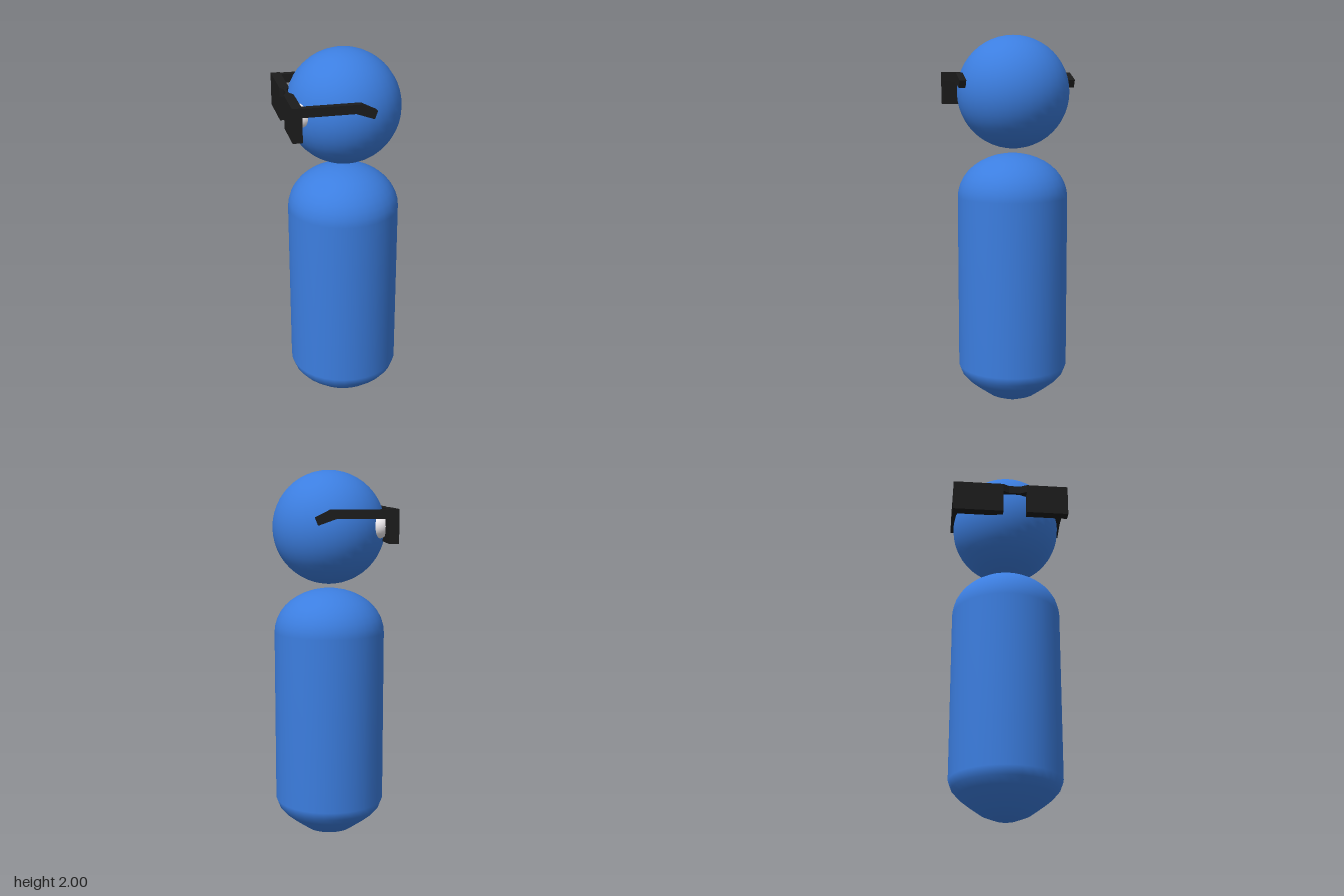
import * as THREE from 'three';

const blue = new THREE.MeshStandardMaterial({ color: 0x3c7ee0 });
const black = new THREE.MeshStandardMaterial({ color: 0x1c1c1c });
const white = new THREE.MeshStandardMaterial({ color: 0xf2eef2 });

function add(group, name, geometry, material, x = 0, y = 0, z = 0) {
  const mesh = new THREE.Mesh(geometry, material);
  mesh.name = name;
  mesh.position.set(x, y, z);
  group.add(mesh);
  return mesh;
}

// Flat outline with a depth along +z
function slab(points, depth) {
  const shape = new THREE.Shape(points.map(([x, y]) => new THREE.Vector2(x, y)));
  return new THREE.ExtrudeGeometry(shape, { depth, bevelEnabled: false });
}

// Capsule-like body: shallow bottom, straight wall, elliptical shoulders
function bodyGeometry() {
  const profile = [[0, 0], [0.06, 0.007], [0.13, 0.035], [0.2, 0.085], [0.25, 0.125], [0.28, 0.16], [0.297, 0.205]];
  const steps = 10;
  for (let i = 0; i <= steps; i++) {
    const a = (i / steps) * Math.PI / 2;
    profile.push([0.297 * Math.cos(a), 1.14 + 0.235 * Math.sin(a)]);
  }
  return new THREE.LatheGeometry(profile.map(([r, y]) => new THREE.Vector2(Math.max(r, 0), y)), 32);
}

export function createModel() {
  const model = new THREE.Group();
  model.name = 'figure';

  add(model, 'body', bodyGeometry(), blue, 0.008);
  add(model, 'head', new THREE.SphereGeometry(0.3, 32, 24), blue, 0.01, 1.7, -0.003);

  // Eyes, on the -x side of the head
  for (const [name, z] of [['leftEye', -0.145], ['rightEye', 0.133]]) {
    add(model, name, new THREE.SphereGeometry(0.063, 24, 16), white, -0.232, 1.71, z);
  }

  const glasses = new THREE.Group();
  glasses.name = 'glasses';
  model.add(glasses);

  // Solid lenses
  for (const [name, z0, z1] of [['leftLens', -0.317, -0.042], ['rightLens', 0.087, 0.315]]) {
    add(glasses, name, new THREE.BoxGeometry(0.05, 0.175, z1 - z0), black, -0.29, 1.718, (z0 + z1) / 2);
  }

  // Temple arms with a bent tip
  const arm = [[-0.27, 1.757], [0.0, 1.757], [0.093, 1.724], [0.108, 1.764], [0.03, 1.803], [-0.27, 1.803]];
  add(glasses, 'leftArm', slab(arm, 0.036), black, 0, 0, -0.317);
  add(glasses, 'rightArm', slab(arm, 0.036), black, 0, 0, 0.279);

  // Bridge, pinched in the middle; outline drawn in x and z, then laid flat
  const bridge = slab([
    [-0.315, 0.042], [-0.298, 0.01], [-0.298, -0.052], [-0.315, -0.087],
    [-0.265, -0.087], [-0.283, -0.052], [-0.283, 0.01], [-0.265, 0.042],
  ], 0.045);
  bridge.rotateX(-Math.PI / 2);
  add(glasses, 'bridge', bridge, black, 0, 1.76);

  return model;
}
